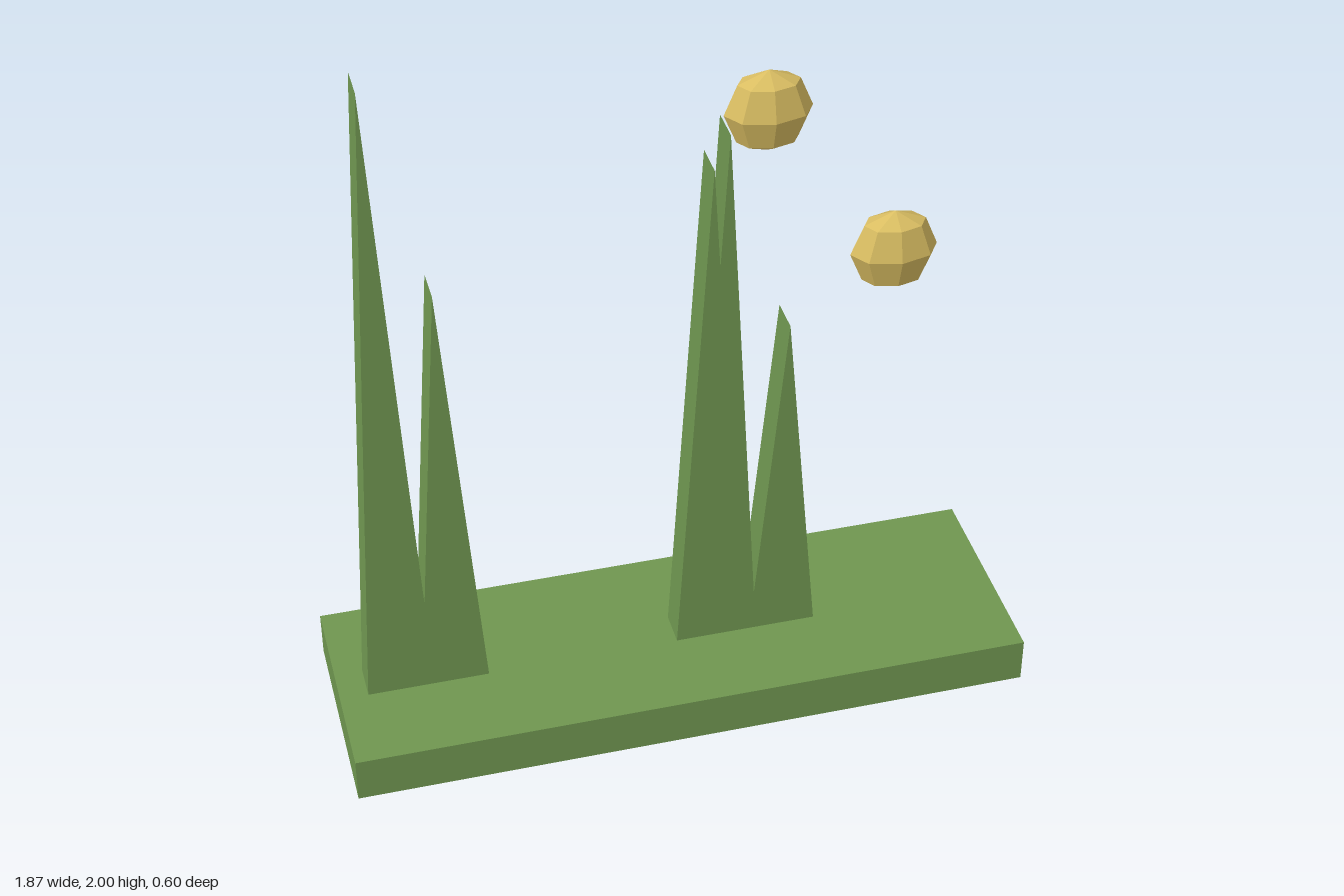
import * as THREE from 'three';

const green = new THREE.MeshStandardMaterial({ color: 0x6f9650, flatShading: true });
const gold = new THREE.MeshStandardMaterial({ color: 0xd9bd62, flatShading: true });

const BASE_HEIGHT = 0.13;

// Triangular prism standing on the base, tip at (x, top)
function makeBlade(x, top, halfWidth) {
  const shape = new THREE.Shape([
    new THREE.Vector2(x - halfWidth, BASE_HEIGHT),
    new THREE.Vector2(x + halfWidth, BASE_HEIGHT),
    new THREE.Vector2(x, top),
  ]);
  const geometry = new THREE.ExtrudeGeometry(shape, { depth: 0.1, bevelEnabled: false });
  geometry.translate(0, 0, -0.05);
  const blade = new THREE.Mesh(geometry, green);
  blade.name = 'grassBlade';
  return blade;
}

function makeTuft(name, blades) {
  const tuft = new THREE.Group();
  tuft.name = name;
  for (const b of blades) tuft.add(makeBlade(...b));
  return tuft;
}

// Faceted ball flattened from front to back
function makeBall(x, y, z) {
  const ball = new THREE.Mesh(new THREE.SphereGeometry(0.117, 8, 4), gold);
  ball.scale.z = 0.63;
  ball.position.set(x, y, z);
  ball.name = 'floatingBall';
  return ball;
}

export function createModel() {
  const model = new THREE.Group();
  model.name = 'grassAndBalls';

  // Ground slab
  const slab = new THREE.Mesh(new THREE.BoxGeometry(1.866, BASE_HEIGHT, 0.6), green);
  slab.position.y = BASE_HEIGHT / 2;
  slab.name = 'groundSlab';
  model.add(slab);

  // Two tufts of pointed blades: [x, top, half width]
  model.add(makeTuft('rightTuft', [[-0.764, 2.0, 0.092], [-0.615, 1.4, 0.092]]));
  model.add(makeTuft('leftTuft', [[0.1, 1.65, 0.093], [0.14, 1.745, 0.093], [0.307, 1.145, 0.093]]));

  // Floating balls
  model.add(makeBall(0.296, 1.673, -0.155), makeBall(0.594, 1.304, 0));

  return model;
}
